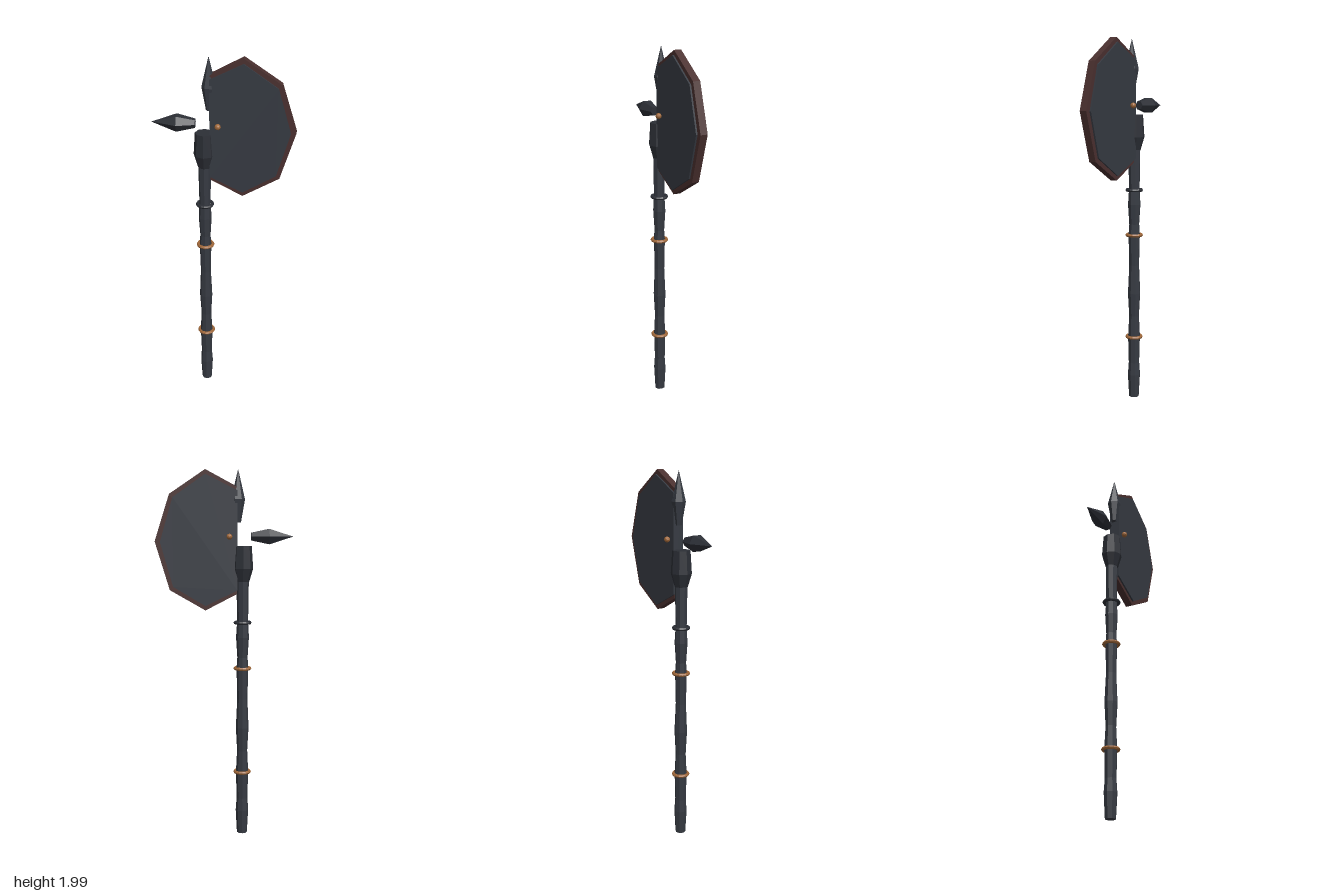
import * as THREE from 'three';

const steel = new THREE.MeshStandardMaterial({ color: 0x363a42, flatShading: true });
const darkSteel = new THREE.MeshStandardMaterial({ color: 0x2c2f36, flatShading: true });
const edgeRed = new THREE.MeshStandardMaterial({ color: 0x4a302f, flatShading: true });
const copper = new THREE.MeshStandardMaterial({ color: 0xa0683a, flatShading: true });

const HAFT_X = -0.1;

export function createModel() {
  const model = new THREE.Group();
  model.name = 'battleAxe';

  const add = (name, geometry, material, x = 0, y = 0, z = 0) => {
    const mesh = new THREE.Mesh(geometry, material);
    mesh.name = name;
    mesh.position.set(x, y, z);
    model.add(mesh);
    return mesh;
  };
  const lathe = (profile, sides) =>
    new THREE.LatheGeometry(profile.map(([r, y]) => new THREE.Vector2(r, y)), sides);

  // Gently swelling haft with a capped foot
  add('haft', lathe([
    [0, 0], [0.028, 0], [0.035, 0.13], [0.03, 0.2], [0.034, 0.35], [0.028, 0.47], [0.035, 0.6],
    [0.028, 0.76], [0.032, 0.93], [0.028, 0.99], [0.035, 1.1], [0.03, 1.18], [0.033, 1.4],
    [0.033, 1.5], [0, 1.5],
  ], 8), steel, HAFT_X);

  // Socket on top of the haft
  add('socket', lathe([
    [0, 1.4], [0.035, 1.4], [0.056, 1.47], [0.048, 1.59], [0, 1.59],
  ], 8), darkSteel, HAFT_X);

  // Rings around the haft
  [[0.35, copper], [0.93, copper], [1.18, darkSteel]].forEach(([y, material]) => {
    const ring = add('haftRing', new THREE.TorusGeometry(0.04, 0.009, 6, 16), material, HAFT_X, y);
    ring.rotation.x = Math.PI / 2;
  });

  // Blade: a thick steel plate inside a thinner, wider cutting edge
  const plate = (outline, thickness) => {
    const shape = new THREE.Shape(outline.map(([x, y]) => new THREE.Vector2(x, y)));
    return new THREE.ExtrudeGeometry(shape, { depth: thickness, bevelEnabled: false })
      .translate(0, 0, -thickness / 2);
  };
  add('bladeCore', plate([
    [-0.07, 1.355], [0.1, 1.272], [0.272, 1.375], [0.34, 1.612],
    [0.272, 1.845], [0.1, 1.965], [-0.07, 1.88],
  ], 0.058), steel);
  add('cuttingEdge', plate([
    [-0.068, 1.335], [0.1, 1.248], [0.29, 1.357], [0.368, 1.615],
    [0.29, 1.862], [0.1, 1.99], [-0.068, 1.9],
  ], 0.04), edgeRed);

  // Rivets on both faces of the blade
  for (const side of [-1, 1]) {
    add('rivet', new THREE.IcosahedronGeometry(0.016, 1), copper, -0.027, 1.64, side * 0.04);
  }

  // Spikes: one upright, one pointing backwards
  const topSpike = lathe([[0, 0], [0.016, 0], [0.037, 0.12], [0, 0.278]], 6);
  add('topSpike', topSpike.rotateY(Math.PI / 6), steel, -0.074, 1.715);
  const rearSpike = lathe([[0, 0], [0.024, 0], [0.047, 0.095], [0, 0.225]], 6);
  add('rearSpike', rearSpike, darkSteel, -0.145, 1.64).rotation.z = Math.PI / 2;

  return model;
}
